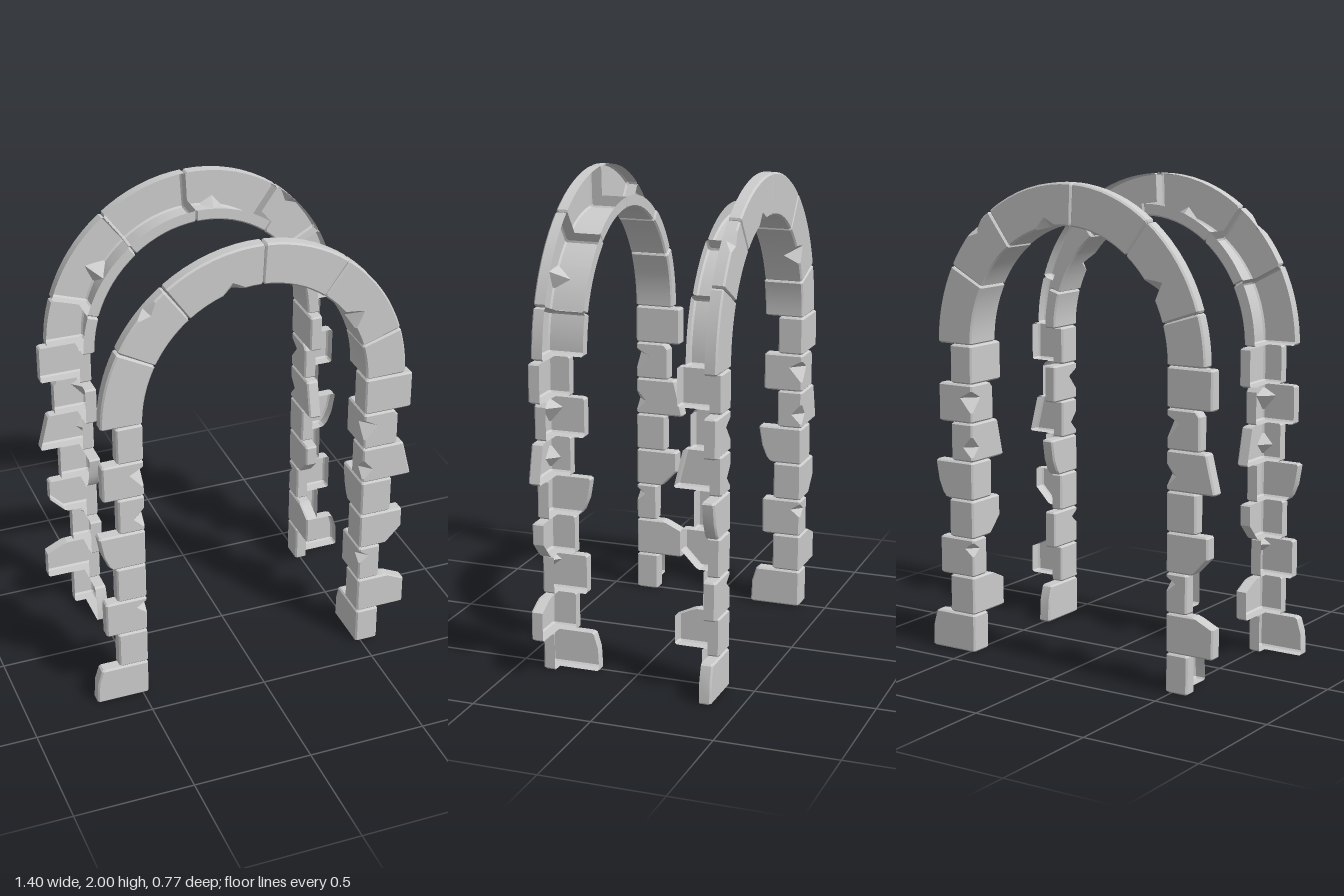
import * as THREE from 'three';
import { toCreasedNormals } from 'three/addons/utils/BufferGeometryUtils.js';

const INNER = 0.475, FRONT = 0.385, SPRING = 1.314, RISE = 0.514; // opening half width, face z, springing line, inner rise
const DEPTH = 0.05, BEVEL = 0.007, ROWS = 8;
const material = new THREE.MeshStandardMaterial({ color: 0xcccccc, side: THREE.DoubleSide });

// piecewise linear arm length; a plain number means constant
function lengthAt(profile, v) {
  if (typeof profile === 'number') return profile;
  for (let i = 1; i < profile.length; i++) {
    const [v0, l0] = profile[i - 1], [v1, l1] = profile[i];
    if (v <= v1) return l0 + (l1 - l0) * (v - v0) / (v1 - v0);
  }
  return profile[profile.length - 1][1];
}

// chip = [bottom, deepest point, top, depth]
function chipAt(chip, v) {
  if (!chip) return 0;
  const [low, mid, high, depth] = chip;
  return depth * Math.max(0, Math.min((v - low) / (mid - low), (high - v) / (high - mid)));
}

// L-shaped section: p runs across the face, q runs back into the opening
function section(a, d, chip, outerChip, i) {
  const b = BEVEL, t = DEPTH, A = a - i, D = d - i;
  const c = b + chip, o = b + outerChip;
  return [
    [i + c, i], [A - o, i], [A, i + o], [A, t], [t, t],
    [t, D], [i + b, D], [i, D - b], [i, i + c],
  ];
}
const OPEN_EDGES = [3, 4]; // the rear of each stone is hollow

// lofts the L section along v = 0..1; place(p, q, v) gives the position
function stone(name, { face, reveal, chip, outerChip, steps = 1, length }, place, flip = false) {
  const e = BEVEL / length;
  const stops = [e, 1 - e];
  for (let i = 1; i < steps; i++) stops.push(i / steps);
  for (const profile of [face, reveal]) if (Array.isArray(profile)) stops.push(...profile.map(k => k[0]));
  for (const k of [chip, outerChip]) if (k) stops.push(...k.slice(0, 3));
  const inner = [...new Set(stops)].filter(v => v >= e && v <= 1 - e).sort((x, y) => x - y);
  const levels = [0, ...inner, 1];

  const positions = [], index = [];
  const rings = levels.map(v => section(lengthAt(face, v), lengthAt(reveal, v),
    chipAt(chip, v), chipAt(outerChip, v), v === 0 || v === 1 ? BEVEL : 0));
  rings.forEach((ring, k) => ring.forEach(([p, q]) => positions.push(...place(p, q, levels[k]))));

  const tri = (a, b, c) => flip ? index.push(a, c, b) : index.push(a, b, c);
  const n = rings[0].length, last = (rings.length - 1) * n;
  for (let k = 0; k < rings.length - 1; k++) {
    for (let j = 0; j < n; j++) {
      if (OPEN_EDGES.includes(j)) continue;
      const a = k * n + j, b = k * n + (j + 1) % n;
      tri(a, b, b + n);
      tri(a, b + n, a + n);
    }
  }
  const cap = (ring) => THREE.ShapeUtils.triangulateShape(ring.map(([x, y]) => new THREE.Vector2(x, y)), []);
  for (const [a, b, c] of cap(rings[0])) tri(a, c, b);
  for (const [a, b, c] of cap(rings[rings.length - 1])) tri(last + a, last + b, last + c);

  const geometry = new THREE.BufferGeometry();
  geometry.setAttribute('position', new THREE.Float32BufferAttribute(positions, 3));
  geometry.setIndex(index);
  const mesh = new THREE.Mesh(toCreasedNormals(geometry, 0.3), material);
  mesh.name = name;
  return mesh;
}

// corner stones from the ground up: long arm, short arm, chip on the corner
const CORNER_STONES = [
  { long: [[0, 0.225], [0.6, 0.22], [1, 0.2]], short: 0.1 },
  { long: [[0, 0.215], [0.75, 0.215], [1, 0.13]], short: 0.125 },
  { long: 0.175, short: 0.095, chip: [0.55, 0.74, 0.9, 0.037] },
  { long: [[0, 0.12], [0.45, 0.19], [1, 0.19]], short: 0.125 },
  { long: [[0, 0.14], [0.15, 0.16], [0.45, 0.18], [0.8, 0.19], [1, 0.195]], short: 0.135 },
  { long: [[0, 0.22], [1, 0.18]], short: 0.11, chip: [0.12, 0.37, 0.65, 0.04] },
  { long: 0.172, short: [[0, 0.15], [0.85, 0.15], [1, 0.13]], chip: [0.27, 0.65, 0.83, 0.053] },
  { long: 0.205, short: 0.11 },
];

// long and short arms alternate between the face and the reveal
function leg(name, side, longFaceOnEven) {
  const group = new THREE.Group();
  group.name = name;
  const pitch = SPRING / ROWS, length = pitch - 0.002;
  CORNER_STONES.forEach(({ long, short, chip }, row) => {
    const longFace = (row % 2 === 0) === longFaceOnEven;
    const shape = { face: longFace ? long : short, reveal: longFace ? short : long, chip, length };
    const place = (p, q, v) => [side * (INNER + p), row * pitch + v * length, FRONT - q];
    group.add(stone('cornerStone', shape, place, side < 0));
  });
  return group;
}

// arch stones: start and end angle in degrees, plus chips
const ARCH_STONES = [
  { from: 0, to: 18, reveal: 0.17 },
  { from: 18, to: 53.5, reveal: 0.165, chip: [0.3, 0.43, 0.6, 0.06] },
  { from: 53.5, to: 87.3, reveal: 0.16 },
  { from: 87.3, to: 125.5, reveal: 0.16, chip: [0.23, 0.37, 0.52, 0.035] },
  { from: 125.5, to: 151.5, reveal: 0.165, outerChip: [0.18, 0.35, 0.5, 0.025] },
  { from: 151.5, to: 180, reveal: 0.17 },
];

function archRing() {
  const group = new THREE.Group();
  group.name = 'archRing';
  for (const { from, to, ...shape } of ARCH_STONES) {
    const start = from + 0.1, sweep = to - from - 0.2;
    const place = (p, q, v) => {
      const angle = THREE.MathUtils.degToRad(start + v * sweep);
      return [(INNER + p) * Math.cos(angle), SPRING + (RISE + p) * Math.sin(angle), FRONT - q];
    };
    const length = THREE.MathUtils.degToRad(sweep) * 0.6;
    group.add(stone('archStone', { ...shape, face: 0.172, steps: 8, length }, place));
  }
  return group;
}

function archway(name) {
  const group = new THREE.Group();
  group.name = name;
  group.add(leg('leftLeg', 1, false), leg('rightLeg', -1, true), archRing());
  return group;
}

export function createModel() {
  const model = new THREE.Group();
  model.name = 'stoneArchTrim';
  const front = archway('frontArch');
  // the back arch is the front one turned half round
  const back = archway('backArch');
  back.rotation.y = Math.PI;
  model.add(front, back);
  return model;
}
